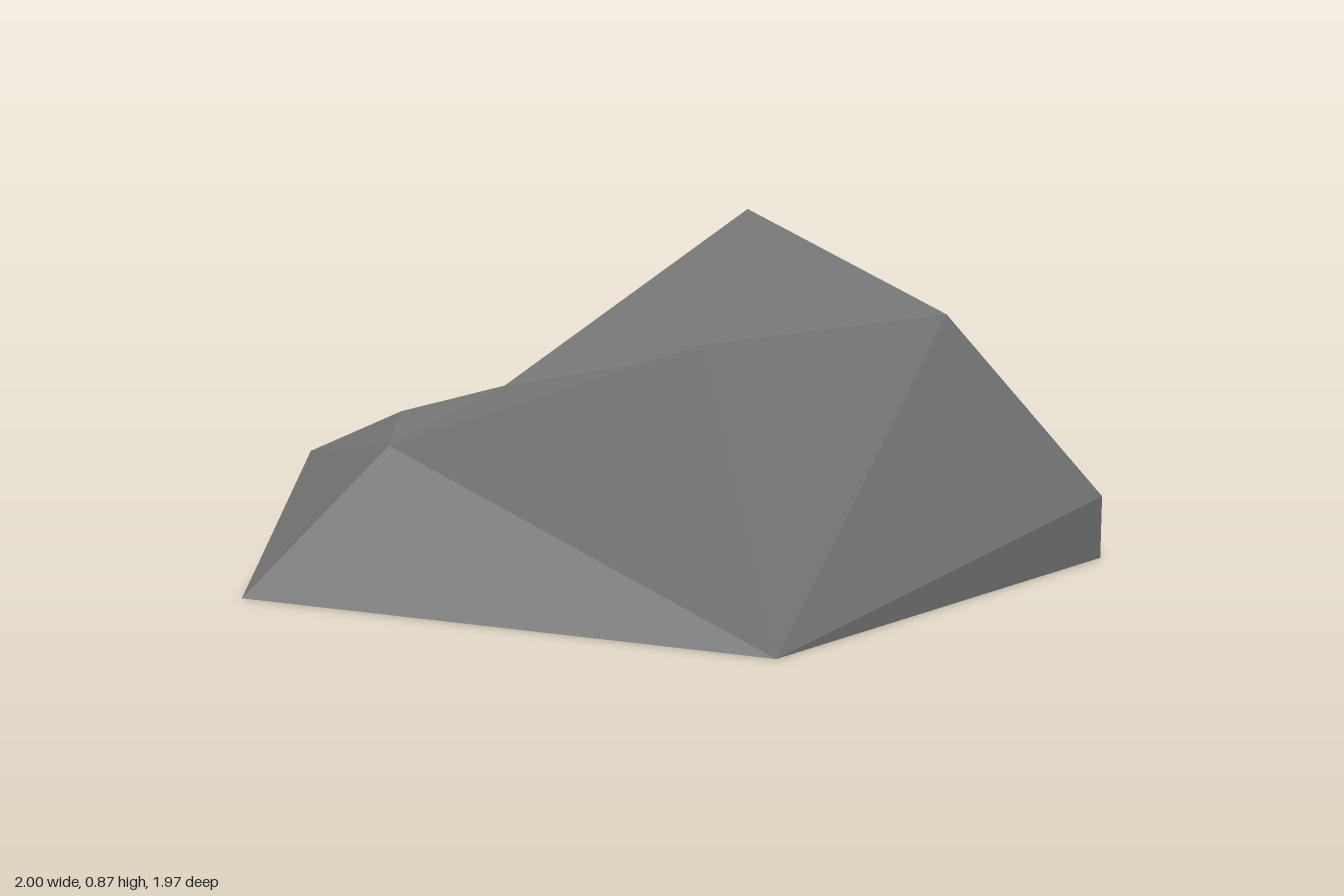
import * as THREE from 'three';

// Corner points of the rock
const points = {
  // ground outline
  A: [-1, 0, -0.17], B: [-0.27, 0, 0.98], C: [1, 0, 0.66],
  D: [0.88, 0, -0.4], E: [0.46, 0, -0.85], F: [-0.41, 0, -0.99],
  // low step above the front corner
  S: [1, 0.16, 0.66],
  // upper rim
  G: [-0.65, 0.35, -0.07], H: [-0.23, 0.65, 0.64], I: [0.55, 0.65, 0.57],
  K: [0.76, 0.65, -0.34], L: [0.35, 0.32, -0.75], M: [-0.42, 0.175, -0.93],
  // summit, foot of the cleft, shelf point
  J: [0.395, 0.865, -0.04], N: [-0.05, 0.378, -0.52], P: [-0.42, 0.36, -0.42],
};

// Facets of each part, corners counter-clockwise from outside
const parts = {
  rockSides: 'ABG BHG BIH BSI BCS CDS SDK DEK ELK EML EFM FAM',
  rockShelf: 'AGM GPM PLM PNL GNP GHI GIN',
  rockPeak: 'NIJ ISJ JSK JKL JLN',
};

function facets(list) {
  const corners = [...list.replaceAll(' ', '')];
  const geometry = new THREE.BufferGeometry();
  geometry.setAttribute('position',
    new THREE.Float32BufferAttribute(corners.flatMap((c) => points[c]), 3));
  geometry.computeVertexNormals();
  return geometry;
}

export function createModel() {
  const stone = new THREE.MeshStandardMaterial({
    color: 0x777777, flatShading: true, side: THREE.DoubleSide, // open underneath
  });
  stone.name = 'grey stone';

  const rock = new THREE.Group();
  rock.name = 'rock';
  for (const [name, list] of Object.entries(parts)) {
    const mesh = new THREE.Mesh(facets(list), stone);
    mesh.name = name;
    rock.add(mesh);
  }
  return rock;
}
